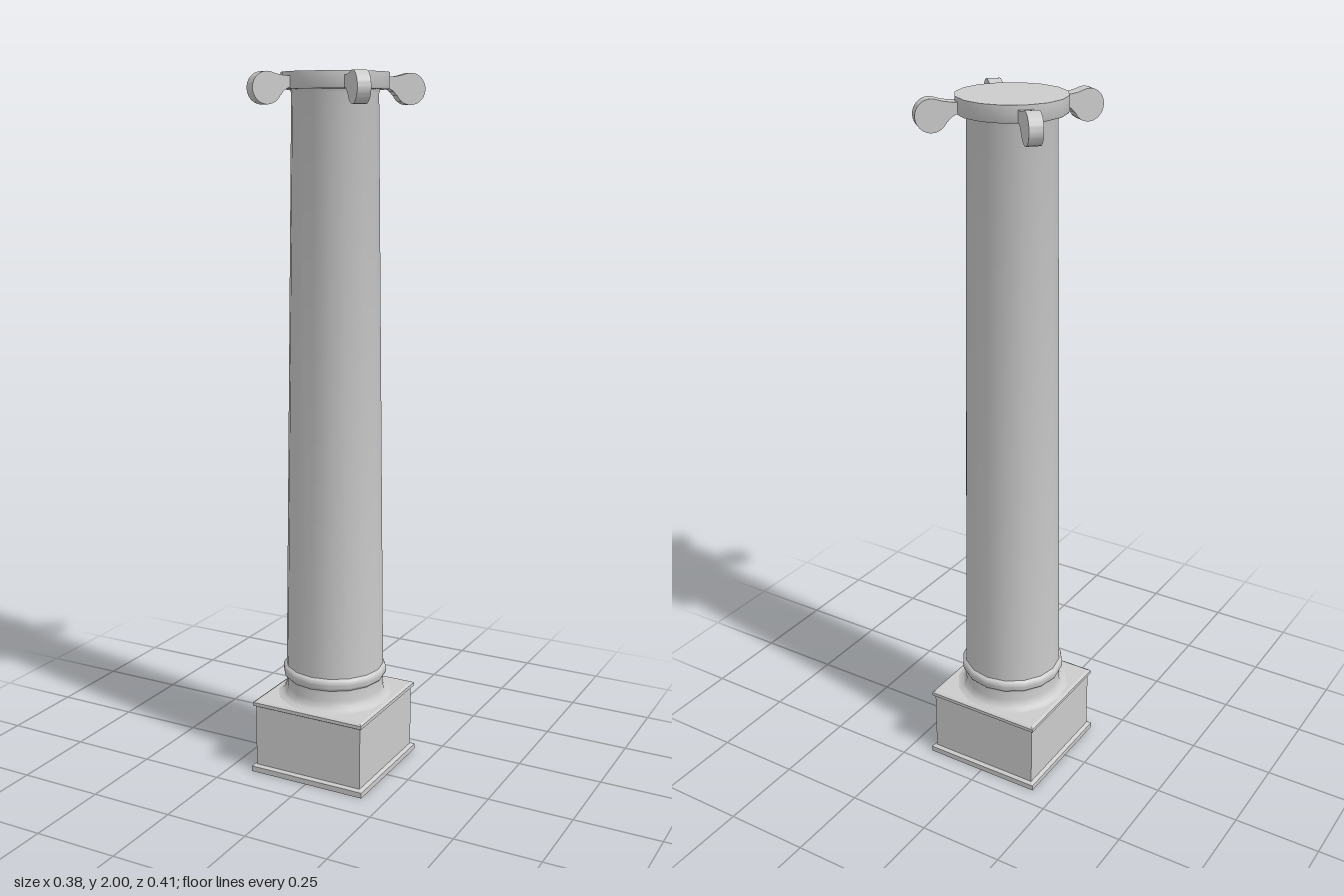
import * as THREE from 'three';
import { toCreasedNormals } from 'three/addons/utils/BufferGeometryUtils.js';

const material = new THREE.MeshStandardMaterial({ color: 0xcccccc, side: THREE.DoubleSide });

// Turned part from [radius, y] pairs, listed from bottom to top.
function turned(name, profile, segments = 16, crease = 0.7) {
  const points = profile.map(([r, y]) => new THREE.Vector2(r, y));
  const geometry = toCreasedNormals(new THREE.LatheGeometry(points, segments), crease);
  const mesh = new THREE.Mesh(geometry, material);
  mesh.name = name;
  return mesh;
}

// Square part: a four-sided turning whose pairs are [half width, y].
function square(name, profile) {
  const mesh = turned(name, profile.map(([h, y]) => [h * Math.SQRT2, y]), 4, 0.3);
  mesh.rotation.y = Math.PI / 4;
  return mesh;
}

// Side profile of a corner scroll: thin neck growing into a round end.
function scrollGeometry() {
  const width = 0.037;
  const shape = new THREE.Shape();
  shape.moveTo(0.115, 1.962);
  shape.bezierCurveTo(0.145, 1.962, 0.16, 1.955, 0.169, 1.94);
  shape.absarc(0.21, 1.957, 0.0425, Math.PI * 1.13, Math.PI * 2.6, false);
  shape.bezierCurveTo(0.175, 1.99, 0.16, 1.988, 0.115, 1.988);
  const geometry = new THREE.ExtrudeGeometry(shape, { depth: width, bevelEnabled: false, curveSegments: 14 });
  geometry.translate(0, 0, -width / 2);
  return toCreasedNormals(geometry, 0.7);
}

export function createModel() {
  const model = new THREE.Group();
  model.name = 'column';

  // Hollow square pedestal, open underneath
  model.add(square('pedestal', [
    [0.168, 0], [0.181, 0], [0.181, 0.016], [0.17, 0.021],
    [0.17, 0.203], [0.177, 0.207], [0.177, 0.217], [0.17, 0.221], [0.1, 0.221],
  ]));

  // Flared foot
  model.add(turned('foot', [
    [0.168, 0.221], [0.155, 0.226], [0.147, 0.235], [0.143, 0.25], [0.143, 0.285],
  ]));

  // Rounded ring at the bottom of the shaft
  const ring = [];
  for (let i = 0; i <= 8; i++) {
    const a = -Math.PI / 2 + (i / 8) * Math.PI;
    ring.push([0.14 + 0.0125 * Math.cos(a), 0.299 + 0.019 * Math.sin(a)]);
  }
  model.add(turned('baseRing', ring));

  // Tapering shaft
  model.add(turned('shaft', [[0.143, 0.3], [0.119, 1.945], [0.123, 1.956]]));

  // Round cap
  model.add(turned('cap', [[0.118, 1.955], [0.144, 1.955], [0.147, 1.96], [0.147, 2], [0, 2]]));

  // Four scrolls; the front right one is turned out of line
  const scroll = scrollGeometry();
  for (const degrees of [45, 124, 225, 315]) {
    const mesh = new THREE.Mesh(scroll, material);
    mesh.name = 'scroll';
    mesh.rotation.y = -THREE.MathUtils.degToRad(degrees);
    model.add(mesh);
  }

  // Column axis sits slightly behind the centre
  for (const part of model.children) part.position.z = -0.015;
  return model;
}
